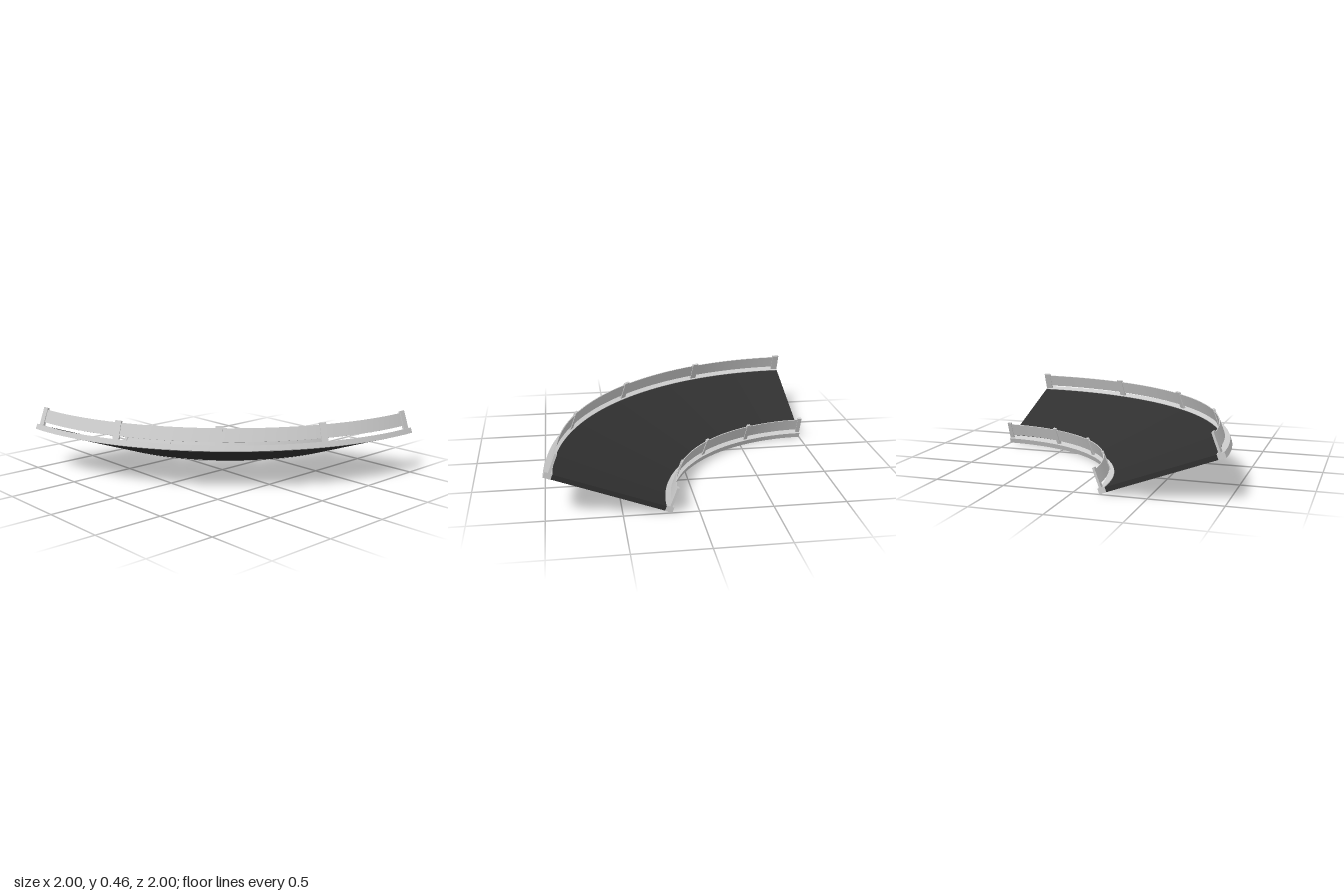
import * as THREE from 'three';
import { toCreasedNormals } from 'three/addons/utils/BufferGeometryUtils.js';

const R0 = 1.18;                       // radius of the lowest inner edge
const BANK = Math.atan2(0.305, 0.82);  // banking angle
const LENGTH = 0.875;                  // width of the deck along the slope
const CURB = 0.052;
const deg = THREE.MathUtils.degToRad;

// Sweep a rectangle (u along the slope, v square to it) round the bend between two angles
function sweep(name, [u0, u1], [v0, v1], from, to, steps, material) {
  const c = Math.cos(BANK), s = Math.sin(BANK);
  const corners = [[u0, v0], [u1, v0], [u1, v1], [u0, v1]];
  const profile = new THREE.Shape(
    corners.map(([u, v]) => new THREE.Vector2(R0 + u * c - v * s, u * s + v * c)));
  const geo = new THREE.ExtrudeGeometry(profile, { depth: 1, steps, bevelEnabled: false });
  const p = geo.attributes.position;
  for (let i = 0; i < p.count; i++) {
    const r = p.getX(i), a = deg(to + (from - to) * p.getZ(i));
    p.setXYZ(i, -1 + r * Math.sin(a), p.getY(i), -1 + r * Math.cos(a));
  }
  geo.computeVertexNormals();
  const mesh = new THREE.Mesh(toCreasedNormals(geo, deg(30)), material);
  mesh.name = name;
  return mesh;
}

export function createModel() {
  const model = new THREE.Group();
  model.name = 'bankedRoadCurve';
  const grey = new THREE.MeshStandardMaterial({ color: 0xcccccc });
  const asphalt = new THREE.MeshStandardMaterial({ color: 0x303030 });

  // Road deck between the curbs
  model.add(sweep('roadDeck', [CURB, LENGTH - CURB], [0.002, 0.036], 0, 90, 64, asphalt));

  // Inner and outer edges: curb, raised rail and five posts
  for (const [side, u] of [['inner', 0], ['outer', LENGTH - CURB]]) {
    const edge = new THREE.Group();
    edge.name = side + 'Barrier';
    edge.add(sweep(side + 'Curb', [u, u + CURB], [0, 0.04], 0, 90, 64, grey));
    edge.add(sweep(side + 'Rail', [u + 0.018, u + 0.024], [0.066, 0.163], 0, 90, 64, grey));
    for (let i = 0; i < 5; i++) {
      const a = 0.75 + i * 22.125;
      edge.add(sweep(side + 'Post', [u + 0.013, u + 0.029], [0.038, 0.177], a - 0.75, a + 0.75, 1, grey));
    }
    model.add(edge);
  }
  return model;
}
